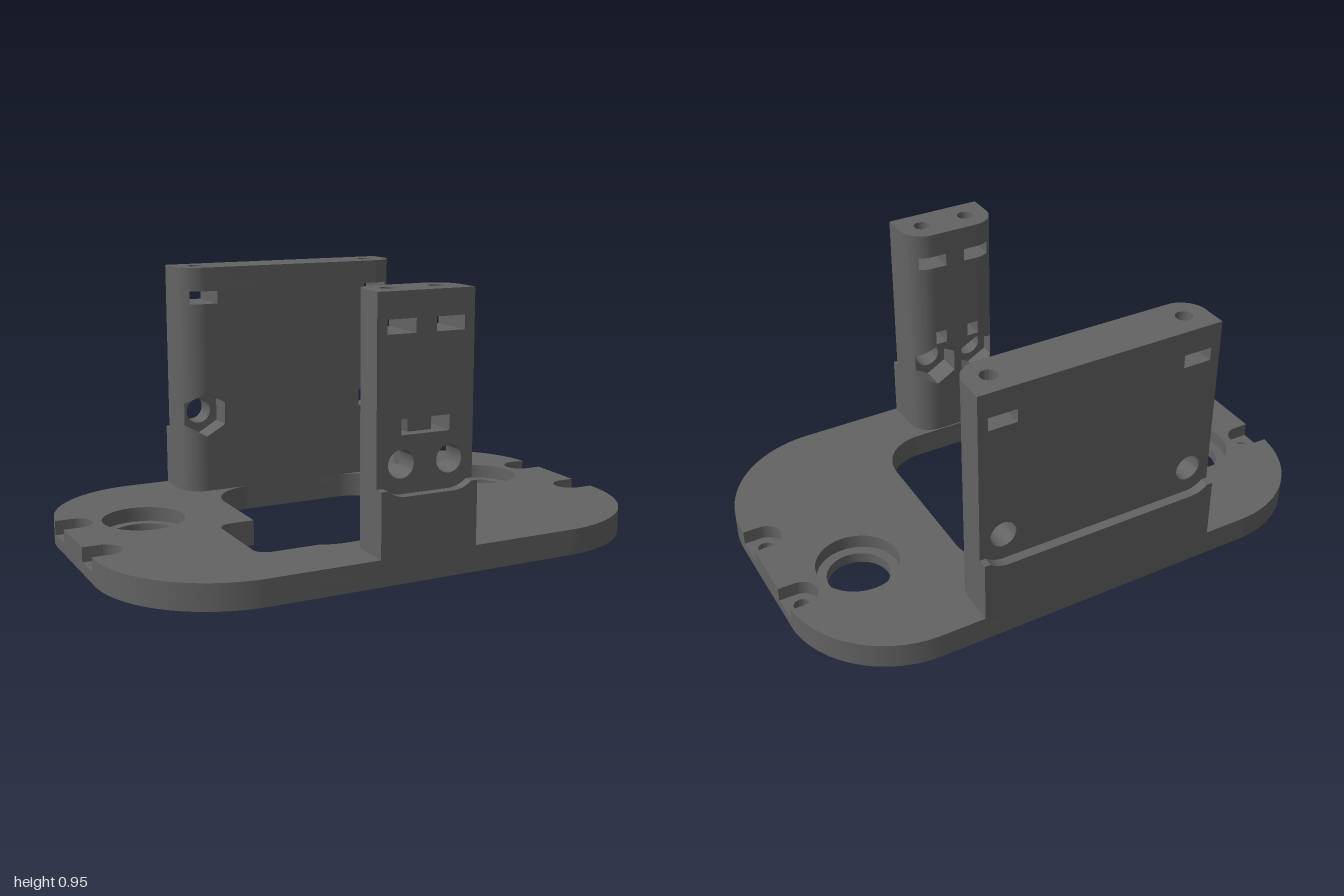
import * as THREE from 'three';
import { toCreasedNormals } from 'three/addons/utils/BufferGeometryUtils.js';

const PI = Math.PI;
const material = new THREE.MeshStandardMaterial({ color: 0x636363 });
const BASE = 0.092, SLOT_LOW = 0.816, SLOT_TOP = 0.864, TOP = 0.953;
const INNER = -0.42, MID = -0.51, OUTER = -0.6, EDGE = -0.635;
const BOLT_Y = 0.392, BOLT_R = 0.048, HEX_R = 0.086, CORNER = 0.09;
const POCKET_ROWS = [-0.124, 0.22];

function addMesh(parent, name, geometry) {
  const mesh = new THREE.Mesh(toCreasedNormals(geometry, 0.5), material);
  mesh.name = name;
  parent.add(mesh);
}

function extrude(shape, depth) {
  return new THREE.ExtrudeGeometry(shape, { depth, bevelEnabled: false, curveSegments: 20 });
}

// Extrude a plan shape (x, -z) upwards from y0 to y1
function extrudeUp(shape, y0, y1) {
  return extrude(shape, y1 - y0).rotateX(-PI / 2).translate(0, y0, 0);
}

function circle(x, y, r) {
  return new THREE.Path().absarc(x, y, r, 0, 2 * PI, false);
}

// Plate outline, optionally with the open screw pockets on both ends
function plateOutline(pockets) {
  const s = new THREE.Shape(), p = 0.059, rows = pockets ? POCKET_ROWS : [];
  const start = 0.095; // the back corners begin just past the pockets
  s.moveTo(1, -0.205);
  for (const y of rows) {
    s.lineTo(1, y - p);
    s.lineTo(0.94, y - p);
    s.absarc(0.94, y, p, -PI / 2, PI / 2, true);
    s.lineTo(1, y + p);
  }
  s.absarc(0.61, 0.245, 0.39, start, PI / 2, false);
  s.absarc(-0.61, 0.245, 0.39, PI / 2, PI - start, false);
  for (const y of [...rows].reverse()) {
    s.lineTo(-1, y + p);
    s.lineTo(-0.94, y + p);
    s.absarc(-0.94, y, p, PI / 2, -PI / 2, true);
    s.lineTo(-1, y - p);
  }
  s.absarc(-0.57, -0.205, 0.43, PI, 1.5 * PI, false);
  s.absarc(0.57, -0.205, 0.43, 1.5 * PI, 2 * PI, false);
  return s;
}

// Central opening with its side notch
function windowPath() {
  const w = new THREE.Path();
  w.moveTo(0.364, -0.245);
  w.absarc(0.194, 0.25, 0.17, 0, PI / 2, false);
  w.absarc(-0.196, 0.25, 0.17, PI / 2, PI, false);
  w.lineTo(-0.366, -0.029);
  w.absarc(-0.455, -0.079, 0.05, PI / 2, PI, false);
  w.absarc(-0.455, -0.344, 0.05, PI, 1.5 * PI, false);
  w.lineTo(-0.28, -0.394);
  w.quadraticCurveTo(-0.24, -0.415, -0.2, -0.415);
  w.absarc(0.194, -0.245, 0.17, 1.5 * PI, 2 * PI, false);
  return w;
}

function basePlate() {
  const group = new THREE.Group();
  group.name = 'basePlate';
  const lower = plateOutline(false), upper = plateOutline(true);
  lower.holes.push(windowPath());
  upper.holes.push(windowPath());
  for (const side of [-1, 1]) {
    lower.holes.push(circle(side * 0.708, 0.17, 0.112));
    upper.holes.push(circle(side * 0.708, 0.17, 0.148));
    for (const y of POCKET_ROWS) lower.holes.push(circle(side * 0.94, y, 0.029));
  }
  addMesh(group, 'plateFloor', extrudeUp(lower, 0, 0.04));
  addMesh(group, 'plateTop', extrudeUp(upper, 0.04, BASE));
  return group;
}

// Openings through a slab: x range, centre height and half height at x
const rect = (x0, x1, y0, y1) => ({ x0, x1, y: (y0 + y1) / 2, half: () => (y1 - y0) / 2 });
const round = (x) => ({
  x0: x - BOLT_R, x1: x + BOLT_R, y: BOLT_Y,
  half: (u) => Math.sqrt(Math.max(0, BOLT_R ** 2 - (u - x) ** 2)),
});
const hexagon = (x) => ({
  x0: x - HEX_R * 0.866, x1: x + HEX_R * 0.866, y: BOLT_Y,
  half: (u) => HEX_R * (1 - Math.abs(u - x) / (HEX_R * 1.732)),
});

// Upright slab made of narrow columns, each broken where an opening crosses it
function slab(xs, openings, back, front) {
  const pos = [];
  const quad = (a, b, c, d) => pos.push(...a, ...b, ...c, ...a, ...c, ...d);
  for (let i = 0; i + 1 < xs.length; i++) {
    const a = xs[i], b = xs[i + 1], m = (a + b) / 2;
    const cuts = openings.filter((o) => m > o.x0 && m < o.x1).sort((p, q) => p.y - q.y);
    const level = [() => BASE];
    for (const o of cuts) level.push((x) => o.y - o.half(x), (x) => o.y + o.half(x));
    level.push(() => SLOT_TOP);
    for (let k = 0; k < level.length; k += 2) {
      const [lo, hi] = [level[k], level[k + 1]];
      if (hi(m) - lo(m) < 1e-5) continue;
      const [A, B, C, D] = [[a, lo], [b, lo], [b, hi], [a, hi]].map(([x, y]) => [x, y(x), front(x)]);
      const [E, F, G, H] = [[a, lo], [b, lo], [b, hi], [a, hi]].map(([x, y]) => [x, y(x), back(x)]);
      quad(A, B, C, D);
      quad(F, E, H, G);
      quad(D, C, G, H);
      quad(E, F, B, A);
      quad(B, F, G, C);
      quad(E, A, D, H);
    }
  }
  const g = new THREE.BufferGeometry();
  g.setAttribute('position', new THREE.Float32BufferAttribute(pos, 3));
  return g;
}

// Upright bracket of half width w, bolts at +-h; its inner face looks to +z
function bracket(name, w, h, tieLoop) {
  const group = new THREE.Group();
  group.name = name;
  const c = w - CORNER;
  const flat = (z) => () => z;
  const inner = (x) => Math.abs(x) <= c ? INNER
    : MID + Math.sqrt(Math.max(0, CORNER ** 2 - (Math.abs(x) - c) ** 2));

  const nutSlots = [-h, h].map((x) => rect(x - 0.0525, x + 0.0525, SLOT_LOW, SLOT_TOP));
  const bolts = [-h, h].map(round), nuts = [-h, h].map(hexagon);
  const tieHoles = tieLoop ? [rect(-0.09, -0.045, 0.487, 0.54), rect(0.045, 0.09, 0.487, 0.54)] : [];
  const tieRecess = tieLoop ? [rect(-0.09, 0.09, 0.487, 0.54)] : [];

  // Column borders follow the rounded corners and every opening
  let xs = [-w, w, -c, c, -h, h];
  for (const o of [...nutSlots, ...bolts, ...nuts, ...tieHoles]) xs.push(o.x0, o.x1);
  for (let i = 1; i < 12; i++) {
    const t = (i / 12) * PI;
    for (const s of [-1, 1]) {
      xs.push(s * h + BOLT_R * Math.cos(t));
      xs.push(s * (c + CORNER * Math.sin(t / 2)));
    }
  }
  xs = xs.sort((p, q) => p - q).filter((x, i, all) => i === 0 || x - all[i - 1] > 1e-5);

  const recess = OUTER + 0.04;
  addMesh(group, 'nutPocketSide', slab(xs, [...nutSlots, ...nuts, ...tieHoles], flat(MID), inner));
  addMesh(group, 'boltSide', slab(xs, [...nutSlots, ...bolts, ...tieHoles], flat(recess), flat(MID)));
  addMesh(group, 'outerFace', slab(xs, [...nutSlots, ...bolts, ...tieRecess], flat(OUTER), flat(recess)));

  // Top block with screw holes leading into the nut slots
  const cap = new THREE.Shape();
  cap.moveTo(w, -OUTER);
  cap.lineTo(-w, -OUTER);
  cap.absarc(-c, -MID, CORNER, PI, 1.5 * PI, false);
  cap.absarc(c, -MID, CORNER, 1.5 * PI, 2 * PI, false);
  for (const x of [-h, h]) cap.holes.push(circle(x, -MID, 0.03));
  addMesh(group, 'topBlock', extrudeUp(cap, SLOT_TOP, TOP));

  // Thicker foot, scooped to clear the bolt heads
  const foot = new THREE.Shape(), a = Math.asin(0.75);
  foot.moveTo(-w, BASE);
  foot.lineTo(w, BASE);
  foot.lineTo(w, BOLT_Y - 0.075);
  foot.absarc(h, BOLT_Y, 0.1, -a, -PI / 2, true);
  foot.absarc(-h, BOLT_Y, 0.1, -PI / 2, -PI + a, true);
  foot.lineTo(-w, BOLT_Y - 0.075);
  addMesh(group, 'foot', extrude(foot, OUTER - EDGE).translate(0, 0, EDGE));
  return group;
}

export function createModel() {
  const model = new THREE.Group();
  model.name = 'mountingBracket';
  const narrow = bracket('frontBracket', 0.18, 0.09, true);
  narrow.rotation.y = PI;
  model.add(basePlate(), bracket('backBracket', 0.4525, 0.3645, false), narrow);
  return model;
}
